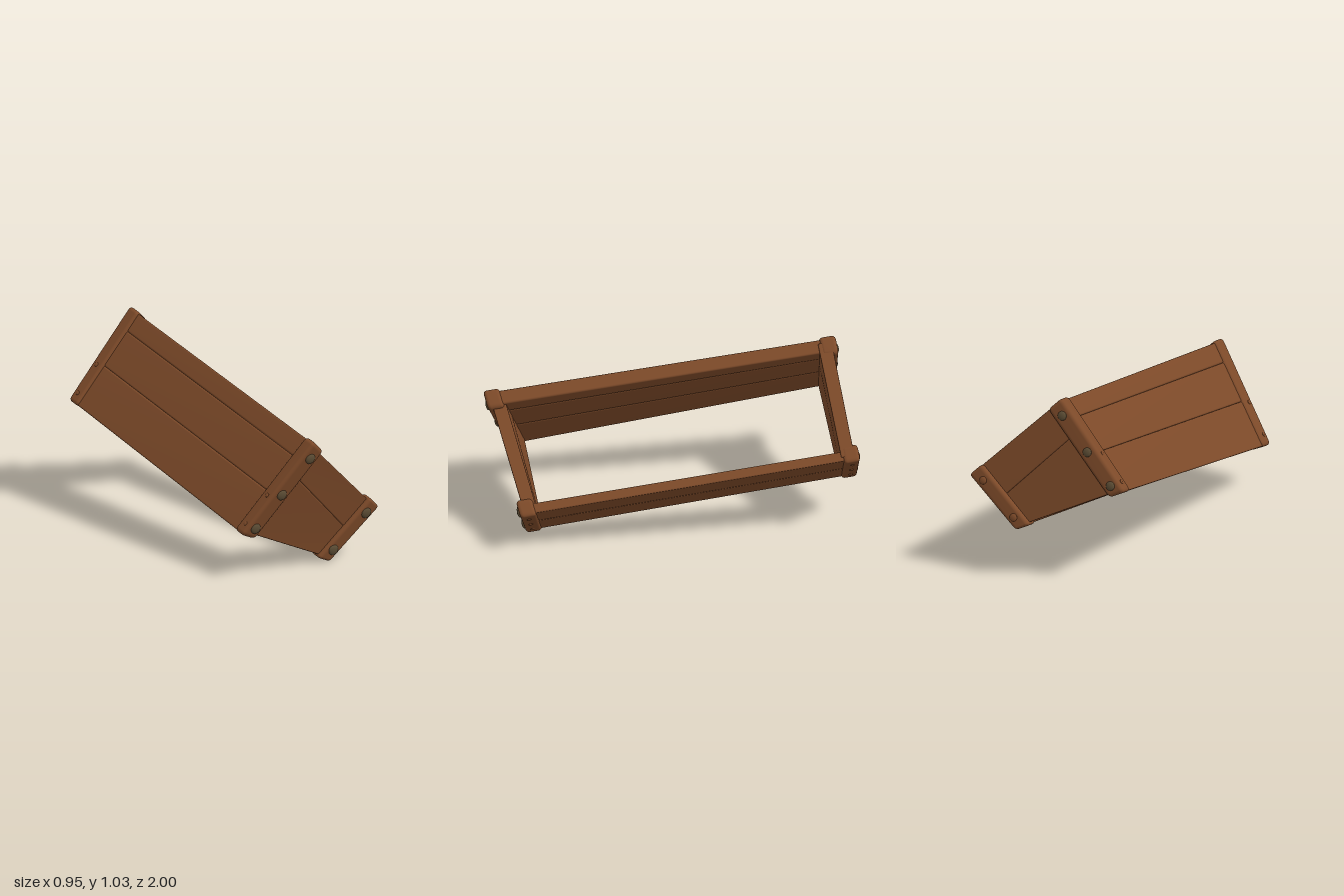
import * as THREE from 'three';
import { mergeVertices } from 'three/addons/utils/BufferGeometryUtils.js';
import { RoundedBoxGeometry } from 'three/addons/geometries/RoundedBoxGeometry.js';

const V = (x, y, z) => new THREE.Vector3(x, y, z);

// Outer corners of the tilted, splayed frame: [side][bottom/top][front/back]
const CORNERS = [
  [[V(-0.4, 0.25, 0.88), V(-0.485, 0.575, -0.865)], [V(-0.03, 0.75, 1.01), V(-0.1, 1.043, -0.875)]], // wide side
  [[V(0.2, -0.01, 0.775), V(0.118, 0.285, -0.99)], [V(0.483, 0.265, 0.81), V(0.393, 0.555, -1.005)]], // narrow side
];
const SIZE = V(0.62, 0.5, 1.8);

// u runs wide side to narrow side, v bottom to top, w front to back
function place(u, v, w) {
  const along = (a, b) => CORNERS[a][b][0].clone().lerp(CORNERS[a][b][1], w);
  const wide = along(0, 0).lerp(along(0, 1), v);
  const narrow = along(1, 0).lerp(along(1, 1), v);
  return wide.lerp(narrow, u);
}

export function createModel() {
  const model = new THREE.Group();
  model.name = 'openTrough';
  const wood = new THREE.MeshStandardMaterial({ color: 0x7d4a29 });
  wood.name = 'brown wood';
  const metal = new THREE.MeshStandardMaterial({ color: 0x5c4d35 });
  metal.name = 'dull metal';

  // Rounded timber fitted into the frame; each v limit is [at u start, at u end]
  function timber(name, u, vLow, vHigh, w, radius) {
    const dx = (u[1] - u[0]) * SIZE.x;
    const dy = ((vHigh[0] + vHigh[1] - vLow[0] - vLow[1]) / 2) * SIZE.y;
    const dz = (w[1] - w[0]) * SIZE.z;
    let geo = new RoundedBoxGeometry(dx, dy, dz, 3, radius);
    geo.deleteAttribute('normal');
    geo.deleteAttribute('uv');
    geo = mergeVertices(geo, 1e-5);
    geo.clearGroups();
    const pos = geo.attributes.position;
    const lerp = THREE.MathUtils.lerp;
    for (let i = 0; i < pos.count; i++) {
      const a = pos.getX(i) / dx + 0.5;
      const b = pos.getY(i) / dy + 0.5;
      const c = 0.5 - pos.getZ(i) / dz;
      const low = lerp(vLow[0], vLow[1], a);
      const high = lerp(vHigh[0], vHigh[1], a);
      const p = place(lerp(u[0], u[1], a), lerp(low, high, b), lerp(w[0], w[1], c));
      pos.setXYZ(i, p.x, p.y, p.z);
    }
    geo.computeVertexNormals();
    const mesh = new THREE.Mesh(geo, wood);
    mesh.name = name;
    model.add(mesh);
  }

  // Domed head flattened along the outward direction
  const dome = new THREE.SphereGeometry(1, 14, 10);
  function stud(name, material, u, v, w, outward, radius) {
    const mesh = new THREE.Mesh(dome, material);
    mesh.name = name;
    mesh.position.copy(place(u, v, w));
    mesh.quaternion.setFromUnitVectors(V(0, 0, 1), outward.clone().normalize());
    mesh.scale.set(radius, radius, radius * 0.4);
    model.add(mesh);
  }

  // Long wide side of three planks and long narrow side of two
  const sides = [
    ['widePlank', [0.02, 0.125], [0.005, 0.43, 0.8, 0.985]],
    ['narrowPlank', [0.905, 0.98], [0.02, 0.5, 0.98]],
  ];
  for (const [name, u, seams] of sides) {
    for (let i = 0; i + 1 < seams.length; i++) {
      timber(name, u, [seams[i], seams[i]], [seams[i + 1], seams[i + 1]], [0.025, 0.975], 0.008);
    }
  }

  for (const back of [0, 1]) {
    const depth = (a, b) => (back ? [1 - b, 1 - a] : [a, b]);
    const end = back ? 'back' : 'front';
    const outward = place(0.5, 0.5, back).sub(place(0.5, 0.5, 0.5));

    // End wall of two planks with a slanting seam
    const rim = back ? 0.995 : 0.965;
    timber(end + 'LowerPlank', [0.05, 0.95], [0.03, 0.04], [0.68, 0.49], depth(0.014, 0.053), 0.007);
    timber(end + 'UpperPlank', [0.05, 0.95], [0.68, 0.49], [rim, rim], depth(0.014, 0.053), 0.007);

    // Corner battens
    timber(end + 'WideBatten', [0, 0.15], [0, 0], [1, 1], depth(0, 0.048), 0.02);
    timber(end + 'NarrowBatten', [0.865, 1], [0, 0], [1, 1], depth(0, 0.048), 0.02);

    // Metal bolts, with plain wooden pegs on the back narrow batten
    const size = back ? 0.026 : 0.03;
    for (const v of [0.1, 0.47, 0.87]) stud(end + 'Bolt', metal, 0.075, v, back, outward, size);
    for (const v of [0.18, 0.82]) {
      if (back) stud('backPeg', wood, 0.935, v, back, outward, 0.022);
      else stud('frontBolt', metal, 0.93, v, back, outward, size);
    }

    // Small wooden pegs on the outer sides of the battens
    const w = back ? 0.978 : 0.022;
    const across = place(1, 0.5, w).sub(place(0, 0.5, w));
    for (const v of [0.2, 0.5, 0.8]) stud('sidePeg', wood, 1, v, w, across, 0.012);
    for (const v of [0.1, 0.4]) stud('sidePeg', wood, 0, v, w, across.clone().negate(), 0.012);
  }
  return model;
}
